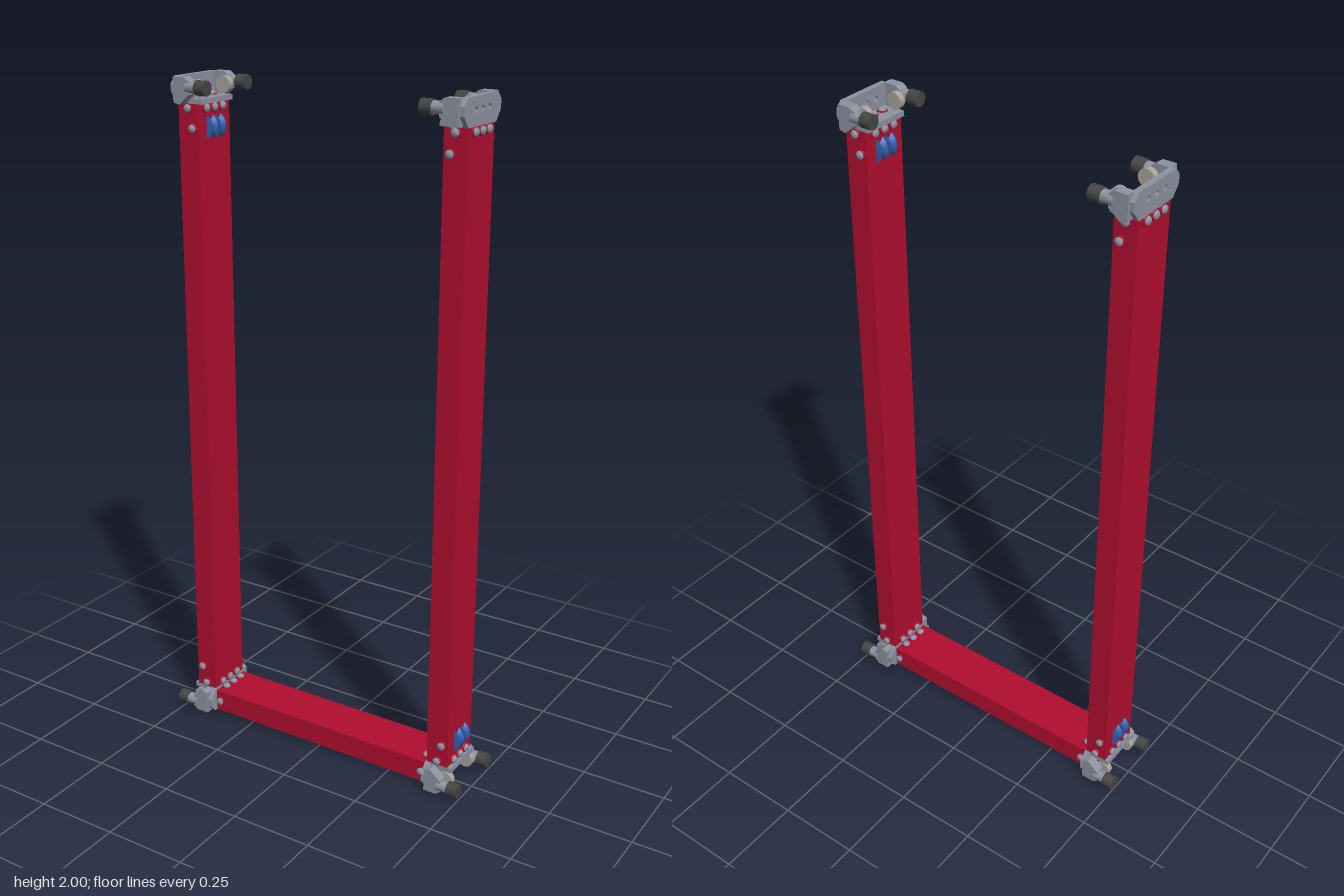
import * as THREE from 'three';

const mat = (name, color) => {
  const m = new THREE.MeshStandardMaterial({ color });
  m.name = name;
  return m;
};

export function createModel() {
  const red = mat('red beam', 0xb00e2e);
  const grey = mat('bracket grey', 0x8c92a0);
  const dark = mat('rubber', 0x454545);
  const blue = mat('pulley blue', 0x3060b0);
  const beige = mat('roller beige', 0xa8a49c);

  const root = new THREE.Group();
  root.name = 'frame';

  const add = (parent, name, geo, m, x = 0, y = 0, z = 0) => {
    const mesh = new THREE.Mesh(geo, m);
    mesh.name = name;
    mesh.position.set(x, y, z);
    parent.add(mesh);
    return mesh;
  };
  const box = (w, h, d) => new THREE.BoxGeometry(w, h, d);
  // cylinder lying along the given axis
  const cyl = (r, len, axis, seg = 24) => {
    const g = new THREE.CylinderGeometry(r, r, len, seg);
    if (axis === 'x') g.rotateZ(Math.PI / 2);
    if (axis === 'z') g.rotateX(Math.PI / 2);
    return g;
  };
  const polygon = pts => new THREE.Shape(pts.map(p => new THREE.Vector2(...p)));
  const extrude = (shape, depth) =>
    new THREE.ExtrudeGeometry(shape, { depth, bevelEnabled: false, curveSegments: 10 });

  // Domed bolt on a red boss, pointing along a unit normal
  const bolt = (parent, x, y, z, normal) => {
    const g = new THREE.Group();
    g.name = 'bolt';
    add(g, 'boltBoss', new THREE.CylinderGeometry(0.014, 0.015, 0.004, 16), red, 0, 0.002, 0);
    const profile = [[0.012, 0], [0.012, 0.005], [0.008, 0.010], [0, 0.011]];
    add(g, 'boltHead', new THREE.LatheGeometry(profile.map(p => new THREE.Vector2(...p)), 14), grey, 0, 0.001, 0);
    g.position.set(x, y, z);
    g.quaternion.setFromUnitVectors(new THREE.Vector3(0, 1, 0), new THREE.Vector3(...normal));
    parent.add(g);
  };
  const row = [-0.037, 0, 0.037];

  // Post end fitting: bracket, rubber feet, rollers and pulleys; x is measured from the post axis
  const makeEnd = () => {
    const g = new THREE.Group();
    g.name = 'endFitting';

    // Back wall with three holes
    const wall = polygon([[-0.076, 1.925], [0.076, 1.925], [0.1, 1.955], [0.1, 1.98], [0.082, 2], [-0.082, 2],
      [-0.1, 1.98], [-0.1, 1.955]]);
    row.forEach(z => {
      const hole = new THREE.Path();
      hole.absarc(z, 1.967, 0.008, 0, Math.PI * 2, true);
      wall.holes.push(hole);
    });
    const wallGeo = extrude(wall, 0.017);
    wallGeo.rotateY(Math.PI / 2);
    add(g, 'bracketWall', wallGeo, grey, 0.02, 0, 0);
    add(g, 'bracketFloor', box(0.082, 0.015, 0.145), grey, -0.005, 1.932, 0);
    row.forEach(z => bolt(g, 0, 1.939, z, [0, 1, 0]));

    for (const s of [-1, 1]) {
      // Sloped side arm
      const arm = polygon([[0.024, 2], [0.024, 1.93], [0.005, 1.925], [-0.03, 1.953], [-0.03, 1.99], [-0.015, 2]]);
      add(g, 'bracketArm', extrude(arm, 0.03), grey, 0, 0, s * 0.092 - 0.015);
      // Rubber foot on a short stem
      add(g, 'footStem', cyl(0.017, 0.04, 'x'), grey, -0.038, 1.973, s * 0.095);
      add(g, 'rubberFoot', cyl(0.021, 0.033, 'x'), dark, -0.0685, 1.973, s * 0.095);
      // Guide roller
      add(g, 'guideRoller', cyl(0.024, 0.018, 'z', 28), beige, -0.027, 1.967, s * 0.063);
      // Grooved pulley
      const rim = [[0, -0.016], [0.038, -0.016], [0.038, -0.011], [0.03, -0.004], [0.03, 0.004],
        [0.038, 0.011], [0.038, 0.016], [0, 0.016]].map(p => new THREE.Vector2(...p));
      const pulley = new THREE.LatheGeometry(rim, 32);
      pulley.rotateX(Math.PI / 2);
      add(g, 'pulley', pulley, blue, -0.014, 1.857, s * 0.018);
      // Bolts on the front and back faces
      bolt(g, 0, 1.912, s * 0.072, [0, 0, s]);
      bolt(g, -0.014, 1.857, s * 0.072, [0, 0, s]);
      row.forEach(z => bolt(g, s * 0.034, 1.912, z, [s, 0, 0]));
    }
    return g;
  };

  // Two posts, each with a fitting at the top and an inverted one at the foot
  for (const side of [1, -1]) {
    const post = new THREE.Group();
    post.name = side > 0 ? 'leftPost' : 'rightPost';
    add(post, 'postBeam', box(0.068, 1.84, 0.144), red, 0, 1.005, 0);
    post.add(makeEnd());
    const foot = makeEnd();
    foot.rotation.z = Math.PI;
    foot.position.y = 2.01;
    post.add(foot);
    post.position.x = side * 0.42;
    if (side < 0) post.rotation.y = Math.PI;
    root.add(post);
  }

  // Crossbar with bolts near both ends
  add(root, 'crossbar', box(0.766, 0.068, 0.144), red, 0, 0.045, 0);
  for (const sx of [-1, 1]) {
    for (const s of [-1, 1]) {
      row.forEach(z => bolt(root, sx * 0.368, 0.045 + s * 0.034, z, [0, s, 0]));
      bolt(root, sx * 0.368, 0.045, s * 0.072, [0, 0, s]);
    }
  }
  return root;
}
